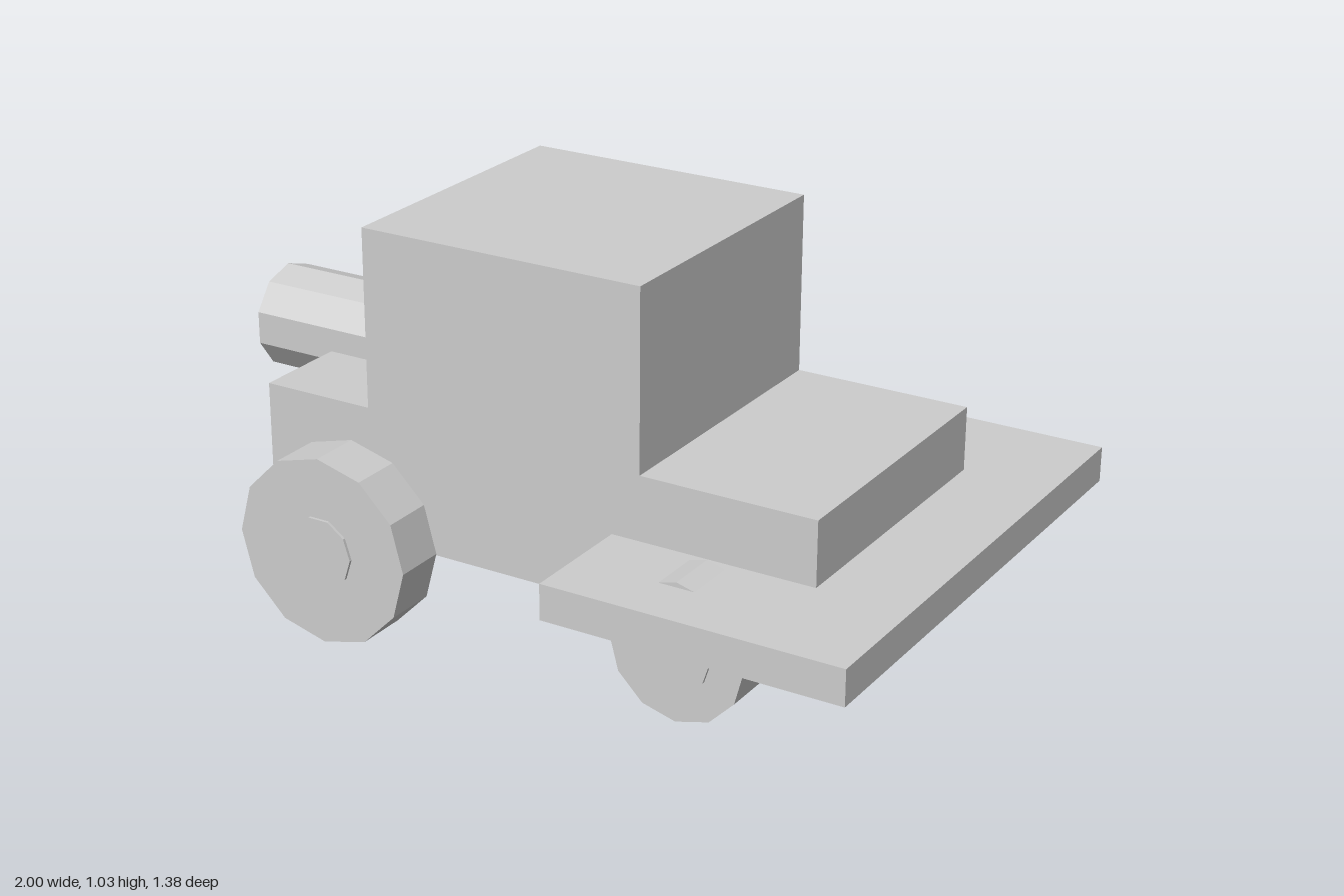
import * as THREE from 'three';

const grey = new THREE.MeshStandardMaterial({ color: 0xcccccc });
grey.name = 'plain grey';

function add(parent, name, geometry, x, y, z) {
  const flat = geometry.index ? geometry.toNonIndexed() : geometry;
  flat.computeVertexNormals(); // faceted look
  const mesh = new THREE.Mesh(flat, grey);
  mesh.name = name;
  mesh.position.set(x, y, z);
  parent.add(mesh);
  return mesh;
}

// Wheel with a slightly protruding ten-sided hub
function addWheel(parent, name, x, z, radius) {
  const wheel = new THREE.Group();
  wheel.name = name;
  wheel.position.set(x, 0.248, z);
  add(wheel, 'tyre', new THREE.CylinderGeometry(radius, radius, 0.137, 12).rotateX(Math.PI / 2), 0, 0, 0);
  add(wheel, 'hub',
    new THREE.CylinderGeometry(0.092, 0.092, 0.152, 10, 1, false, Math.PI / 2).rotateX(Math.PI / 2), 0, 0, 0);
  parent.add(wheel);
}

export function createModel() {
  const model = new THREE.Group();
  model.name = 'vehicle';

  // Stepped body: low chassis with a tall cabin
  const profile = new THREE.Shape([
    [-0.768, 0.23], [0.766, 0.23], [0.766, 0.577], [0.305, 0.577],
    [0.305, 1.037], [-0.464, 1.037], [-0.464, 0.577], [-0.768, 0.577],
  ].map(([x, y]) => new THREE.Vector2(x, y)));
  add(model, 'body', new THREE.ExtrudeGeometry(profile, { depth: 0.768, bevelEnabled: false }), 0, 0, -0.384);

  // Wide flat plate at the +x end
  add(model, 'plate', new THREE.BoxGeometry(0.77, 0.091, 1.382), 0.615, 0.366, 0);

  // Ten-sided barrel at the -x end
  add(model, 'barrel',
    new THREE.CylinderGeometry(0.137, 0.137, 0.54, 10, 1, false, Math.PI / 2).rotateZ(Math.PI / 2),
    -0.73, 0.595, 0);

  // Two large and two small wheels
  for (const [side, label] of [[1, 'Left'], [-1, 'Right']]) {
    addWheel(model, 'largeWheel' + label, -0.5, side * 0.477, 0.245);
    addWheel(model, 'smallWheel' + label, 0.5, side * 0.477, 0.176);
  }
  return model;
}
